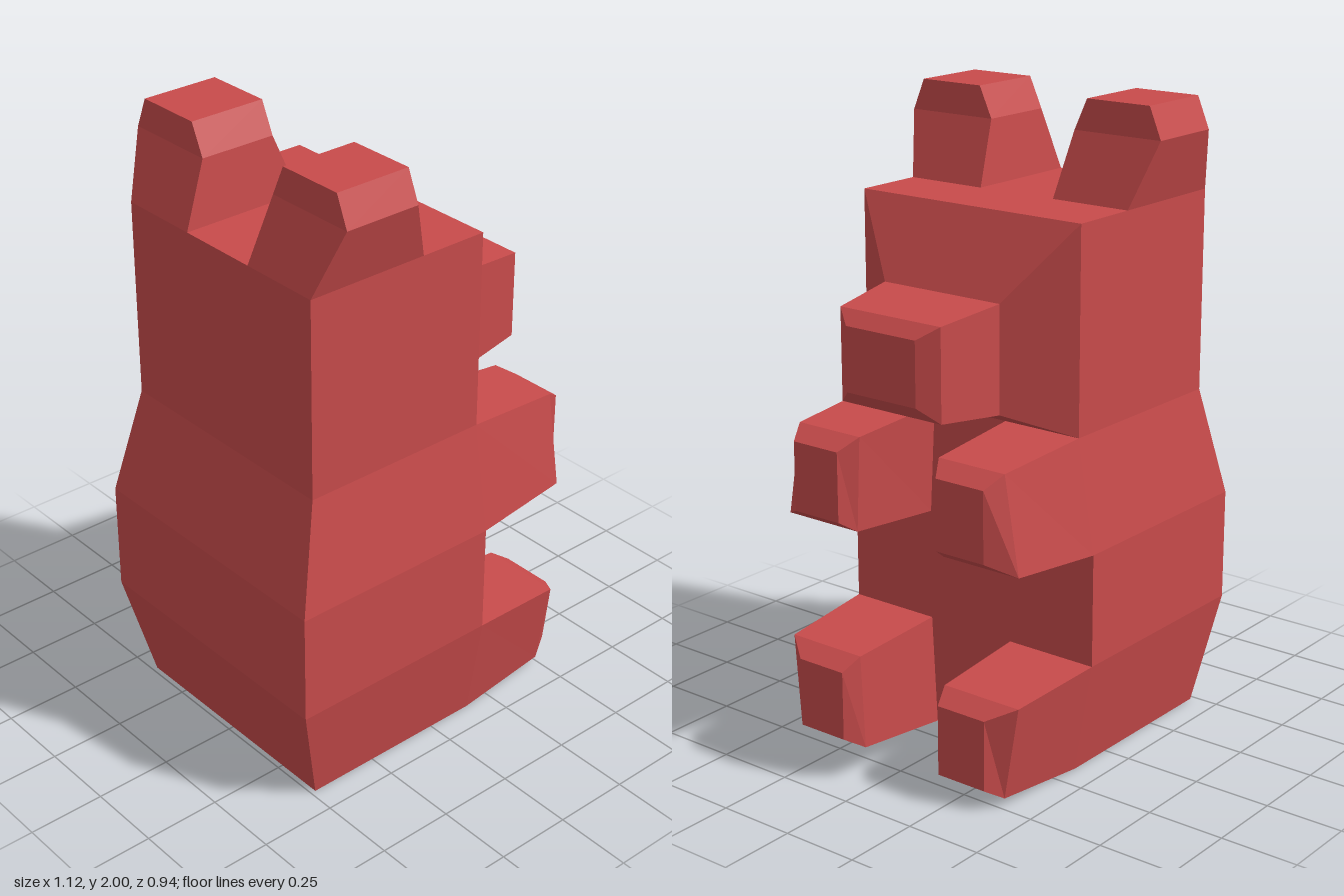
import * as THREE from 'three';

// Ring across the y axis: a rectangle in x and z at height y
const ringY = (y, x0, x1, z0, z1) => [[x0, y, z1], [x1, y, z1], [x1, y, z0], [x0, y, z0]];

// Ring across the x axis: a trapezoid with its own z range at the bottom and top
const ringX = (x, y0, y1, [b0, b1], [t0, t1]) => [[x, y0, b1], [x, y0, b0], [x, y1, t0], [x, y1, t1]];

// Joins four-cornered rings with flat faces and closes the end (and optionally the start)
function loft(rings, capStart = false) {
  const pos = [];
  const quad = (a, b, c, d) => pos.push(...a, ...b, ...c, ...a, ...c, ...d);
  for (let i = 0; i < rings.length - 1; i++) {
    for (let j = 0; j < 4; j++) {
      const k = (j + 1) % 4;
      quad(rings[i][j], rings[i][k], rings[i + 1][k], rings[i + 1][j]);
    }
  }
  quad(...rings[rings.length - 1]);
  if (capStart) quad(...[...rings[0]].reverse());
  const geo = new THREE.BufferGeometry();
  geo.setAttribute('position', new THREE.Float32BufferAttribute(pos, 3));
  geo.computeVertexNormals();
  return geo;
}

export function createModel() {
  const group = new THREE.Group();
  const red = new THREE.MeshStandardMaterial({ color: 0xc84b4b });
  red.name = 'gummyRed';
  red.flatShading = true;

  const add = (name, geo) => {
    const mesh = new THREE.Mesh(geo, red);
    mesh.name = name;
    group.add(mesh);
  };

  // Body and head as one stack, with a flat chest at x = 0.155
  add('bodyAndHead', loft([
    [0, -0.483, 0.41], [0.355, -0.565, 0.468], [0.713, -0.565, 0.468],
    [1.065, -0.483, 0.41], [1.703, -0.483, 0.41],
  ].map(([y, back, z]) => ringY(y, back, 0.157, -z, z)), true));

  // Face tapering into the snout
  add('snout', loft([
    [0.157, 1.065, 1.703, 0.41], [0.287, 1.13, 1.465, 0.218],
    [0.517, 1.153, 1.44, 0.189], [0.56, 1.2, 1.4, 0.13],
  ].map(([x, y0, y1, z]) => ringX(x, y0, y1, [-z, z], [-z, z]))));

  for (const s of [1, -1]) {
    const side = s > 0 ? 'left' : 'right';
    const span = (inner, outer) => (s > 0 ? [inner, outer] : [-outer, -inner]);

    // Ear
    add(side + 'Ear', loft([
      ringY(1.703, -0.483, -0.072, ...span(0.138, 0.41)),
      ringY(1.902, -0.404, -0.15, ...span(0.158, 0.468)),
      ringY(2, -0.404, -0.15, ...span(0.203, 0.427)),
    ]));

    // Arm: wider at its lower edge
    add(side + 'Arm', loft([
      ringX(0.157, 0.713, 1.065, span(0.157, 0.468), span(0.138, 0.41)),
      ringX(0.487, 0.738, 1.04, span(0.168, 0.445), span(0.153, 0.394)),
      ringX(0.547, 0.778, 1.0, span(0.19, 0.364), span(0.19, 0.364)),
    ]));

    // Leg: wider at its upper edge
    add(side + 'Leg', loft([
      ringX(0.157, 0, 0.355, span(0.138, 0.41), span(0.157, 0.468)),
      ringX(0.487, 0.028, 0.33, span(0.153, 0.394), span(0.168, 0.445)),
      ringX(0.547, 0.066, 0.29, span(0.19, 0.364), span(0.19, 0.364)),
    ]));
  }

  return group;
}
